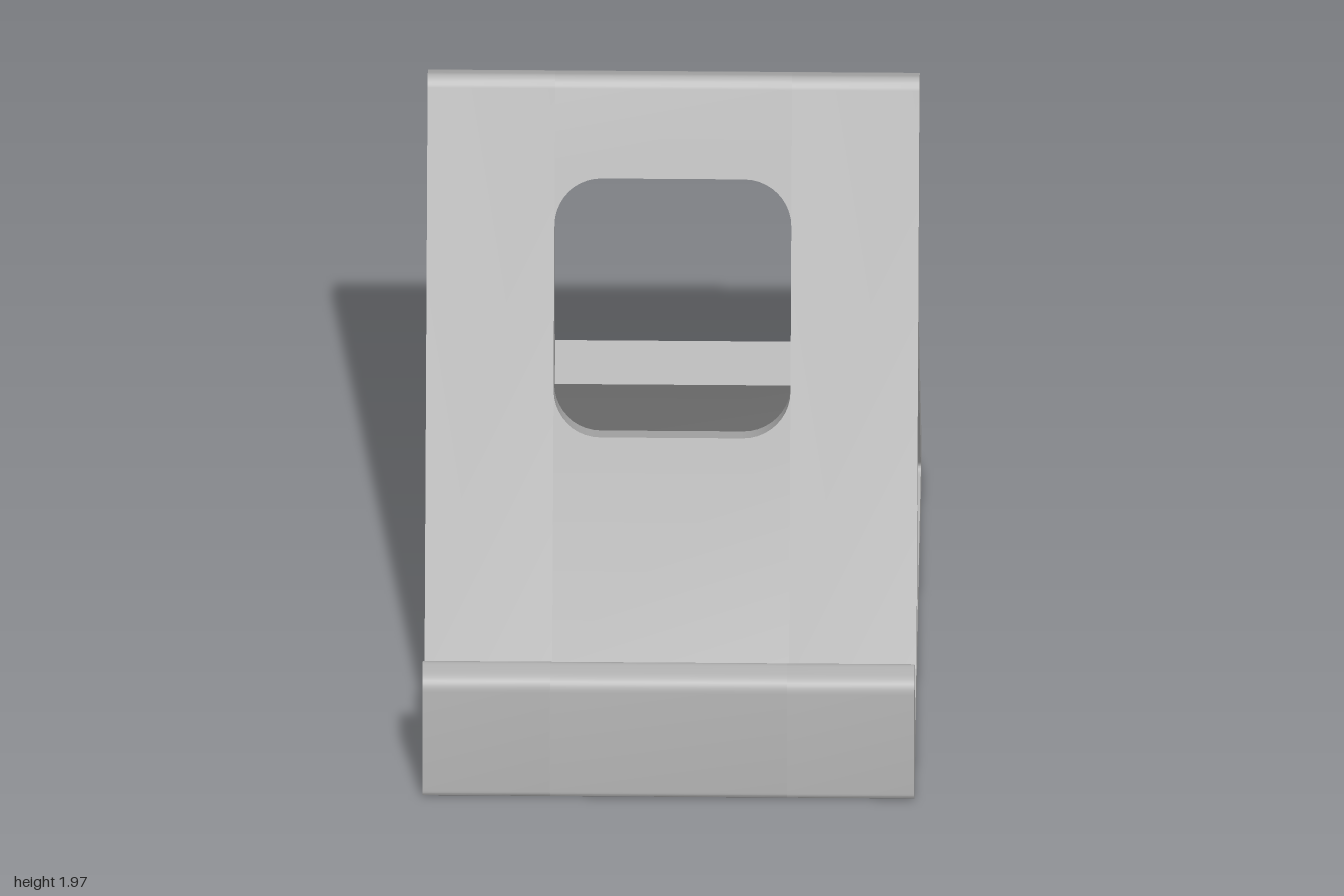
import * as THREE from 'three';
import { toCreasedNormals } from 'three/addons/utils/BufferGeometryUtils.js';

const HALF_WIDTH = 0.83, WINDOW = 0.4, THICK = 0.149, SLOPE = 0.457;
const TILT = Math.atan(SLOPE);

// Points on the leaning backrest, as [z, y]
const front = (y) => [0.413 - SLOPE * (y - 0.15), y];
const back = (y) => {
  const [z] = front(y);
  return [z - THICK * Math.cos(TILT), y - THICK * Math.sin(TILT)];
};

// Closed outline from [z, y, radius] corners
function rounded(corners, target = new THREE.Shape()) {
  const n = corners.length;
  corners.forEach(([x, y, r = 0], i) => {
    const p = new THREE.Vector2(x, y);
    const a = new THREE.Vector2(...corners[(i + n - 1) % n].slice(0, 2)).sub(p).normalize();
    const b = new THREE.Vector2(...corners[(i + 1) % n].slice(0, 2)).sub(p).normalize();
    const t = r / Math.tan(Math.acos(a.dot(b)) / 2);
    const s = p.clone().addScaledVector(a, t), e = p.clone().addScaledVector(b, t);
    if (i === 0) target.moveTo(s.x, s.y);
    else target.lineTo(s.x, s.y);
    if (r > 0) target.quadraticCurveTo(p.x, p.y, e.x, e.y);
  });
  target.closePath();
  return target;
}

function extrude(shape, depth) {
  return new THREE.ExtrudeGeometry(shape, { depth, bevelEnabled: false, curveSegments: 8 });
}

// Side profile swept across the width from x0 to x1
function slab(shape, x0, x1) {
  const g = extrude(shape, x1 - x0);
  g.rotateY(-Math.PI / 2).translate(x1, 0, 0);
  return toCreasedNormals(g, 0.6);
}

export function createModel() {
  const model = new THREE.Group();
  const grey = new THREE.MeshStandardMaterial({ color: 0xb6b6b6 });
  grey.name = 'greyPlastic';
  const add = (name, geometry, parent = model) => {
    const mesh = new THREE.Mesh(geometry, grey);
    mesh.name = name;
    parent.add(mesh);
    return mesh;
  };

  // Base with front lip, up to the foot of the backrest
  const baseFront = [
    [1, 0, 0.03], [1, 0.48, 0.05], [0.855, 0.48, 0.05],
    [0.855, 0.15, 0.025], [0.413, 0.15, 0.025],
  ];
  const baseBack = [[-1, 0.118, 0.06], [-1, 0, 0.03]];
  const backrestEnd = [[...front(1.984), 0.045], [...back(1.984), 0.045]];

  // Side frames: full profile with the triangular opening
  const side = rounded([...baseFront, ...backrestEnd, [-0.214, 1.163, 0.01], ...baseBack]);
  side.holes.push(rounded(
    [[0.249, 0.15, 0.025], [-0.811, 0.15, 0.025], [-0.152, 1.028, 0.02]], new THREE.Path()));
  add('leftFrame', slab(side, WINDOW, HALF_WIDTH));
  add('rightFrame', slab(side, -HALF_WIDTH, -WINDOW));

  // Centre below the window, with the rear strut notched
  const low = 0.86, high = 1.665;
  const centre = rounded([
    ...baseFront, front(low), back(low), [0.249, 0.15, 0.025], [-0.811, 0.15, 0.025],
    [-0.319, 0.804], [-0.382, 0.94], ...baseBack,
  ]);
  add('centreFrame', slab(centre, -WINDOW, WINDOW));

  // Centre of the backrest above the window
  const top = rounded([front(high), ...backrestEnd, back(high)]);
  add('backrestTop', slab(top, -WINDOW, WINDOW));

  // Rounded corners of the window
  const corners = new THREE.Group();
  corners.name = 'windowCorners';
  const [cz, cy] = back((low + high) / 2);
  corners.position.set(0, cy, cz);
  corners.rotation.x = -TILT;
  const h = (high - low) / 2 / Math.cos(TILT), r = 0.16;
  for (const sx of [-1, 1]) {
    for (const sy of [-1, 1]) {
      const pts = [new THREE.Vector2(sx * WINDOW, sy * h)];
      for (let i = 0; i <= 10; i++) {
        const a = (Math.PI / 2) * (i / 10);
        pts.push(new THREE.Vector2(
          sx * (WINDOW - r + r * Math.cos(a)), sy * (h - r + r * Math.sin(a))));
      }
      add('windowCorner', toCreasedNormals(extrude(new THREE.Shape(pts), THICK), 0.6), corners);
    }
  }
  model.add(corners);
  return model;
}
